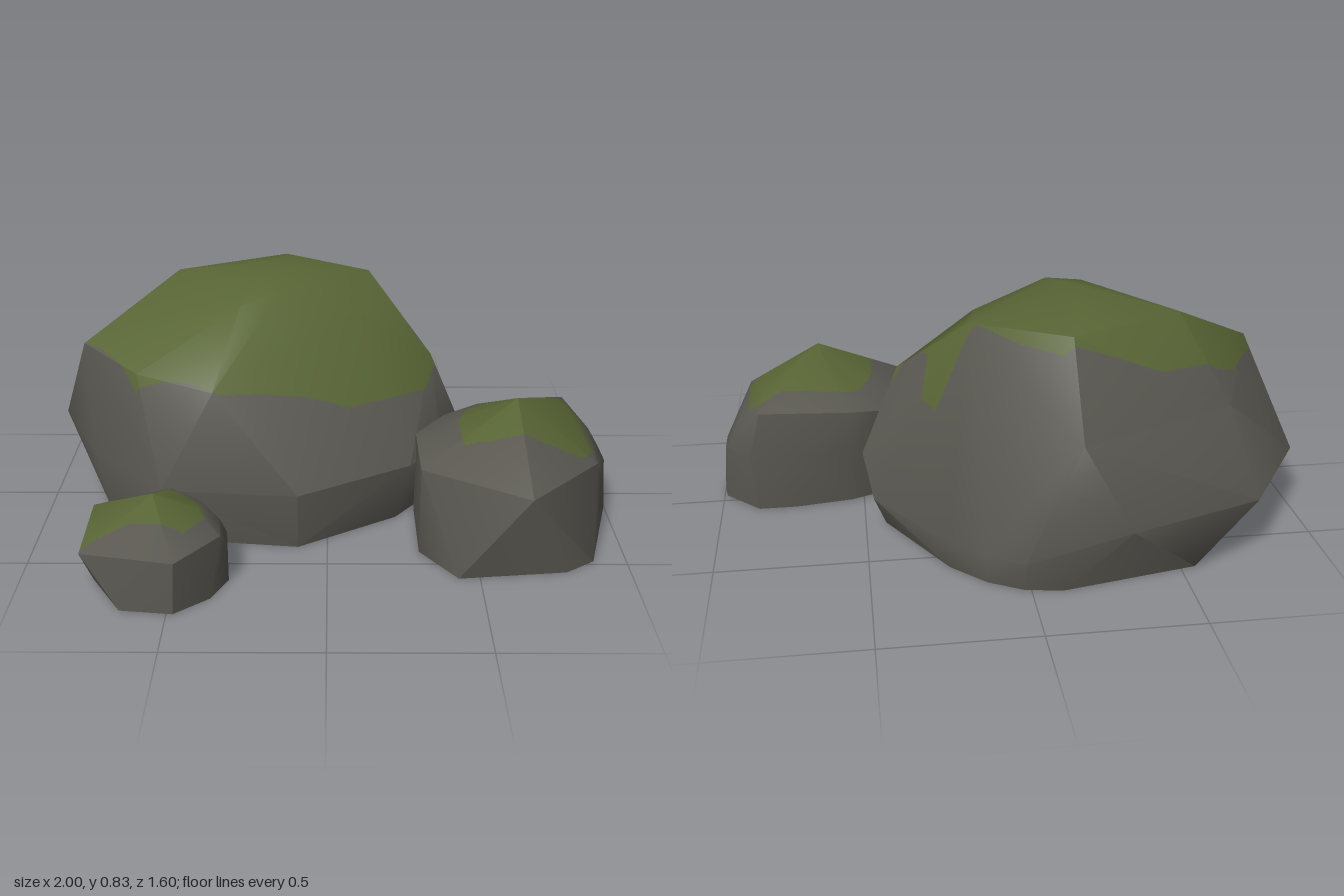
import * as THREE from 'three';
import { toCreasedNormals } from 'three/addons/utils/BufferGeometryUtils.js';
import { ConvexGeometry } from 'three/addons/geometries/ConvexGeometry.js';

const stone = new THREE.MeshStandardMaterial({ name: 'stone', color: 0x5a5851 });
const moss = new THREE.MeshStandardMaterial({ name: 'moss', color: 0x586535 });

// Is (x, z) inside the outline of a moss patch seen from above?
function inside(x, z, outline) {
  let hit = false;
  for (let i = 0, j = outline.length - 1; i < outline.length; j = i++) {
    const [xi, zi] = outline[i], [xj, zj] = outline[j];
    if ((zi > z) !== (zj > z) && x < ((xj - xi) * (z - zi)) / (zj - zi) + xi) hit = !hit;
  }
  return hit;
}

const mix = (a, b) => ({
  p: a.p.clone().lerp(b.p, 0.5),
  n: a.n.clone().add(b.n).normalize(),
});

// Boulder: hull of corner points, split finely only where the moss edge runs
function boulder(name, corners, mossOutline, mossBottom) {
  const hull = toCreasedNormals(
    new ConvexGeometry(corners.map((c) => new THREE.Vector3(...c))), 0.62);
  const pos = hull.attributes.position, nor = hull.attributes.normal;
  const faces = [[], []];
  const mossy = (p) => p.y > mossBottom && inside(p.x, p.z, mossOutline);

  function split(a, b, c) {
    const size = Math.max(a.p.distanceTo(b.p), b.p.distanceTo(c.p), c.p.distanceTo(a.p));
    const mid = a.p.clone().add(b.p).add(c.p).divideScalar(3);
    const m = mossy(mid);
    const mixed = [a, b, c].some((v) => mossy(v.p) !== m);
    const high = Math.max(a.p.y, b.p.y, c.p.y) > mossBottom;
    if (high && (size > 0.1 || (mixed && size > 0.014))) {
      const ab = mix(a, b), bc = mix(b, c), ca = mix(c, a);
      split(a, ab, ca);
      split(ab, b, bc);
      split(ca, bc, c);
      split(ab, bc, ca);
    } else faces[m ? 1 : 0].push(a, b, c);
  }

  for (let i = 0; i < pos.count; i += 3) {
    split(...[0, 1, 2].map((k) => ({
      p: new THREE.Vector3().fromBufferAttribute(pos, i + k),
      n: new THREE.Vector3().fromBufferAttribute(nor, i + k),
    })));
  }

  const all = faces.flat();
  const g = new THREE.BufferGeometry();
  g.setAttribute('position', new THREE.Float32BufferAttribute(all.flatMap((v) => v.p.toArray()), 3));
  g.setAttribute('normal', new THREE.Float32BufferAttribute(all.flatMap((v) => v.n.toArray()), 3));
  g.addGroup(0, faces[0].length, 0);
  g.addGroup(faces[0].length, faces[1].length, 1);
  const mesh = new THREE.Mesh(g, [stone, moss]);
  mesh.name = name;
  return mesh;
}

// Ring of corners at one height
const ring = (y, points) => points.map(([x, z]) => [x, y, z]);

export function createModel() {
  const group = new THREE.Group();
  group.name = 'mossyRocks';

  group.add(boulder('largeRock', [
    ...ring(0, [[-0.86, -0.12], [-0.83, -0.34], [-0.55, -0.67], [-0.1, -0.76], [0.02, -0.74],
      [0.13, -0.68], [0.24, -0.57], [0.43, -0.24], [0.38, 0], [0.24, 0.18], [-0.1, 0.39],
      [-0.54, 0.34], [-0.75, 0.2]]),
    // widest part, lower at the back
    ...ring(0.21, [[-1, -0.27], [-0.76, -0.64], [-0.31, -0.8], [0.5, -0.11], [0.41, 0.05],
      [0.29, 0.19], [-0.1, 0.42], [-0.56, 0.38], [-0.83, 0.09]]),
    ...ring(0.1, [[0.02, -0.76], [0.13, -0.69], [0.25, -0.58], [0.47, -0.25]]),
    // shoulder
    [-0.87, 0.57, -0.06], [-0.68, 0.5, -0.53], [-0.16, 0.48, -0.735],
    [0.37, 0.52, -0.09], [-0.38, 0.54, 0.32], [-0.65, 0.55, 0.18],
    // crown
    [-0.55, 0.76, -0.33], [-0.16, 0.76, -0.53], [0.15, 0.755, -0.34], [0.1, 0.7, -0.05],
    [-0.2, 0.83, -0.2], [-0.16, 0.79, 0], [-0.3, 0.755, 0.07],
  ], [
    [-0.89, -0.08], [-0.82, -0.2], [-0.75, -0.33], [-0.65, -0.43], [-0.45, -0.52], [-0.13, -0.55],
    [0, -0.46], [0.12, -0.36], [0.26, -0.35], [0.3, -0.28], [0.27, -0.22], [0.32, -0.13],
    [0.39, -0.1], [0.35, 0], [0.28, 0.08], [0.15, 0.12], [0.1, 0.16], [-0.05, 0.2], [-0.2, 0.25],
    [-0.37, 0.32], [-0.5, 0.25], [-0.65, 0.2], [-0.72, 0.1], [-0.8, 0],
  ], 0.42));

  group.add(boulder('mediumRock', [
    ...ring(0, [[0.31, 0.12], [0.31, 0.42], [0.43, 0.59], [0.79, 0.55], [0.89, 0.48], [1, 0.1],
      [0.99, 0.04], [0.87, -0.08], [0.74, -0.08], [0.54, -0.05], [0.42, 0]]),
    ...ring(0.2, [[0.98, 0.02], [0.98, 0.12], [0.89, -0.08], [0.74, -0.09], [0.54, -0.06]]),
    [0.31, 0.31, 0.42], [0.31, 0.3, 0.12], [0.42, 0.32, 0], [0.54, 0.34, -0.05],
    [0.65, 0.31, 0.63], [0.9, 0.31, 0.37], [0.92, 0.22, 0.35],
    [0.85, 0.36, -0.07], [0.84, 0.385, 0.1], [0.93, 0.29, 0.05], [0.64, 0.495, 0.25],
  ], [
    [0.47, 0.13], [0.5, 0.07], [0.55, 0.04], [0.77, 0.03], [0.85, -0.01], [0.89, 0.05],
    [0.9, 0.3], [0.85, 0.38], [0.6, 0.39], [0.45, 0.37], [0.45, 0.2],
  ], 0.31));

  group.add(boulder('smallRock', [
    ...ring(0, [[-0.78, 0.46], [-0.76, 0.6], [-0.65, 0.78], [-0.48, 0.8], [-0.37, 0.71],
      [-0.32, 0.6], [-0.34, 0.48], [-0.48, 0.39], [-0.66, 0.41]]),
    ...ring(0.12, [[-0.32, 0.6], [-0.33, 0.5], [-0.37, 0.42], [-0.5, 0.36], [-0.65, 0.37],
      [-0.78, 0.44]]),
    ...ring(0.18, [[-0.77, 0.74], [-0.47, 0.8], [-0.34, 0.63], [-0.35, 0.52]]),
    [-0.77, 0.2, 0.46], [-0.42, 0.2, 0.43], [-0.52, 0.22, 0.38], [-0.56, 0.29, 0.55],
    [-0.42, 0.24, 0.56],
  ], [
    [-0.79, 0.45], [-0.65, 0.47], [-0.5, 0.41], [-0.43, 0.48], [-0.39, 0.58], [-0.45, 0.67],
    [-0.62, 0.65], [-0.77, 0.72],
  ], 0.18));

  return group;
}
